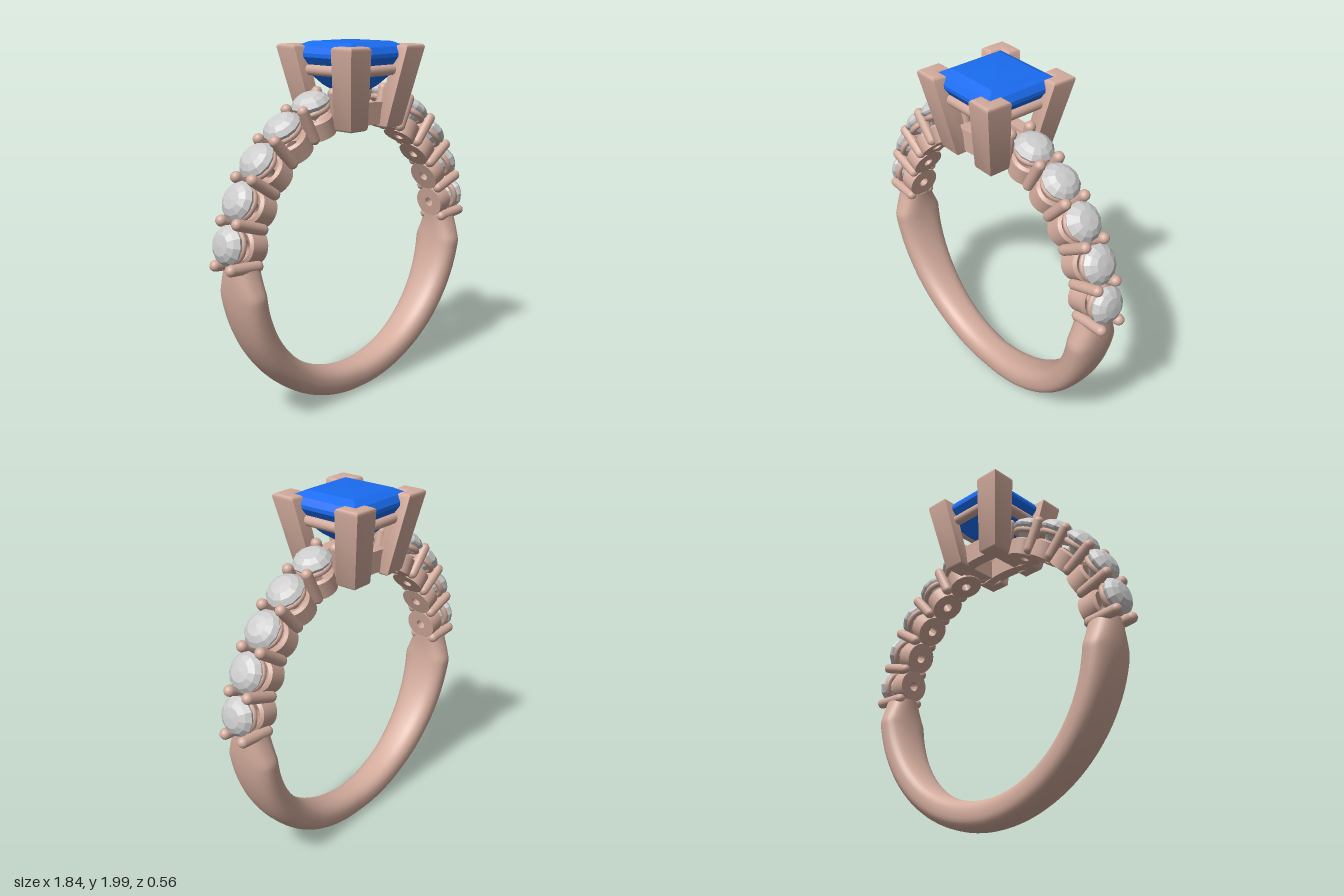
import * as THREE from 'three';
import { toCreasedNormals } from 'three/addons/utils/BufferGeometryUtils.js';

const CY = 0.865; // height of the finger-hole centre
const RAD = Math.PI / 180;
const gold = new THREE.MeshStandardMaterial({ color: 0xd2ab9c });
const blue = new THREE.MeshStandardMaterial({ color: 0x1a6cf0, flatShading: true });
const clear = new THREE.MeshStandardMaterial({ color: 0xcccccc, flatShading: true });

function add(parent, name, geometry, material, x = 0, y = 0, z = 0) {
  const mesh = new THREE.Mesh(geometry, material);
  mesh.name = name;
  mesh.position.set(x, y, z);
  parent.add(mesh);
  return mesh;
}

const lathe = (pts, n) => new THREE.LatheGeometry(pts.map(p => new THREE.Vector2(...p)), n);

// Half width of the band at an angle above horizontal
const WIDTHS = [[-90, 0.09], [-60, 0.105], [-33, 0.126], [-7, 0.145], [2, 0.097], [5, 0.085]];
function halfWidth(a) {
  let i = 0;
  while (i < WIDTHS.length - 2 && a > WIDTHS[i + 1][0]) i++;
  const [a0, w0] = WIDTHS[i], [a1, w1] = WIDTHS[i + 1];
  return w0 + (w1 - w0) * (a - a0) / (a1 - a0);
}

// Lower band: rounded section swept round the finger hole
function shankGeometry() {
  const N = 120, M = 32, pos = [], index = [];
  const pw = (v, e) => Math.sign(v) * Math.abs(v) ** e;
  for (let i = 0; i <= N; i++) {
    const a = -184.5 + 189 * i / N;
    const w = halfWidth(a < -90 ? -180 - a : a);
    for (let j = 0; j < M; j++) {
      const t = j / M * Math.PI * 2;
      const r = 0.775 + 0.081 * pw(Math.cos(t), 0.8);
      pos.push(r * Math.cos(a * RAD), CY + r * Math.sin(a * RAD), w * pw(Math.sin(t), 0.8));
      if (i < N) {
        const p = i * M + j, q = i * M + (j + 1) % M;
        index.push(p, p + M, q, q, p + M, q + M);
      }
    }
  }
  for (let j = 1; j < M - 1; j++) { // end caps
    index.push(0, j, j + 1, N * M, N * M + j + 1, N * M + j);
  }
  const g = new THREE.BufferGeometry();
  g.setAttribute('position', new THREE.Float32BufferAttribute(pos, 3));
  g.setIndex(index);
  return toCreasedNormals(g, 0.8);
}

// L-shaped claw, leaning outwards and widening towards its top
function clawGeometry() {
  const shape = new THREE.Shape([[0, 0], [-0.145, 0], [-0.145, -0.08], [-0.08, -0.08], [-0.08, -0.145], [0, -0.145]]
    .map(p => new THREE.Vector2(...p)));
  const g = new THREE.ExtrudeGeometry(shape, {
    depth: 0.40, bevelSize: 0.02, bevelOffset: -0.02, bevelThickness: 0.02, bevelSegments: 4
  });
  g.rotateX(Math.PI / 2);
  const p = g.attributes.position;
  for (let i = 0; i < p.count; i++) {
    const t = (0.02 - p.getY(i)) / 0.44; // 0 at the top, 1 at the foot
    const corner = 0.282 - 0.087 * t, s = 1 - 0.15 * t;
    p.setXYZ(i, corner + p.getX(i) * s, 1.98 - 0.44 * t, corner + p.getZ(i) * s);
  }
  g.computeVertexNormals();
  return toCreasedNormals(g, 0.6);
}

// Square-cut stone: stacked square sections, closed by the table and the point
function squareStoneGeometry() {
  const g = lathe([[0, 1.68], [0.105, 1.765], [0.185, 1.86], [0.225, 1.915], [0.225, 1.935],
    [0.205, 1.968], [0.155, 1.994], [0, 2.0]].map(([r, y]) => [r * Math.SQRT2, y]), 4);
  return g.rotateY(Math.PI / 4);
}

function sideStones() {
  const group = new THREE.Group();
  group.name = 'stoneShoulder';
  const stone = lathe([[0, 0.776], [0.04, 0.805], [0.1, 0.868], [0.105, 0.88], [0.085, 0.906],
    [0.055, 0.924], [0, 0.93]], 12);
  const cup = toCreasedNormals(lathe([[0.027, 0.693], [0.092, 0.693], [0.092, 0.785], [0.075, 0.797],
    [0.027, 0.76], [0.027, 0.693]], 28), 0.6);
  const collar = new THREE.TorusGeometry(0.08, 0.017, 10, 28).rotateX(Math.PI / 2);
  const prong = new THREE.CapsuleGeometry(0.03, 0.165, 6, 14);
  for (let i = 0; i < 6; i++) {
    // Prong pair between neighbouring stones
    const pair = new THREE.Group();
    pair.name = 'prongPair';
    pair.rotation.z = (4.3 + 14.66 * i - 90) * RAD;
    for (const z of [-0.063, 0.063]) add(pair, 'prong', prong, gold, 0, 0.81, z);
    group.add(pair);
    if (i === 5) break;
    // Stone in its pierced cup and collar
    const setting = new THREE.Group();
    setting.name = 'stoneSetting';
    setting.rotation.z = (11.63 + 14.66 * i - 90) * RAD;
    add(setting, 'sideStone', stone, clear).rotation.y = i * 0.7;
    add(setting, 'cup', cup, gold);
    add(setting, 'collar', collar, gold, 0, 0.842);
    group.add(setting);
  }
  group.position.y = CY;
  return group;
}

function headSetting() {
  const head = new THREE.Group();
  head.name = 'head';
  add(head, 'centreStone', squareStoneGeometry(), blue);
  const claw = clawGeometry();
  const rail = new THREE.CylinderGeometry(0.029, 0.029, 0.40, 16).rotateZ(Math.PI / 2);
  for (let k = 0; k < 4; k++) {
    const quarter = new THREE.Group();
    quarter.name = 'headQuarter';
    quarter.rotation.y = k * Math.PI / 2;
    add(quarter, 'claw', claw, gold);
    add(quarter, 'galleryRail', rail, gold, 0, 1.848, 0.19);
    head.add(quarter);
  }
  // Open base frame following the finger hole
  const arc = new THREE.Shape();
  arc.absarc(0, 0, 0.815, 77 * RAD, 103 * RAD, false);
  arc.absarc(0, 0, 0.695, 103 * RAD, 77 * RAD, true);
  const bar = toCreasedNormals(new THREE.ExtrudeGeometry(arc,
    { depth: 0.07, bevelEnabled: false, curveSegments: 16 }), 0.5);
  for (const z of [-0.145, 0.075]) add(head, 'baseArc', bar, gold, 0, CY, z);
  const side = new THREE.BoxGeometry(0.07, 0.11, 0.24);
  for (const x of [-0.125, 0.125]) add(head, 'baseSide', side, gold, x, 1.61, 0);
  return head;
}

export function createModel() {
  const ring = new THREE.Group();
  ring.name = 'ring';
  add(ring, 'shank', shankGeometry(), gold);
  for (const turn of [0, Math.PI]) {
    const shoulder = sideStones();
    shoulder.rotation.y = turn;
    ring.add(shoulder);
  }
  ring.add(headSetting());
  return ring;
}
